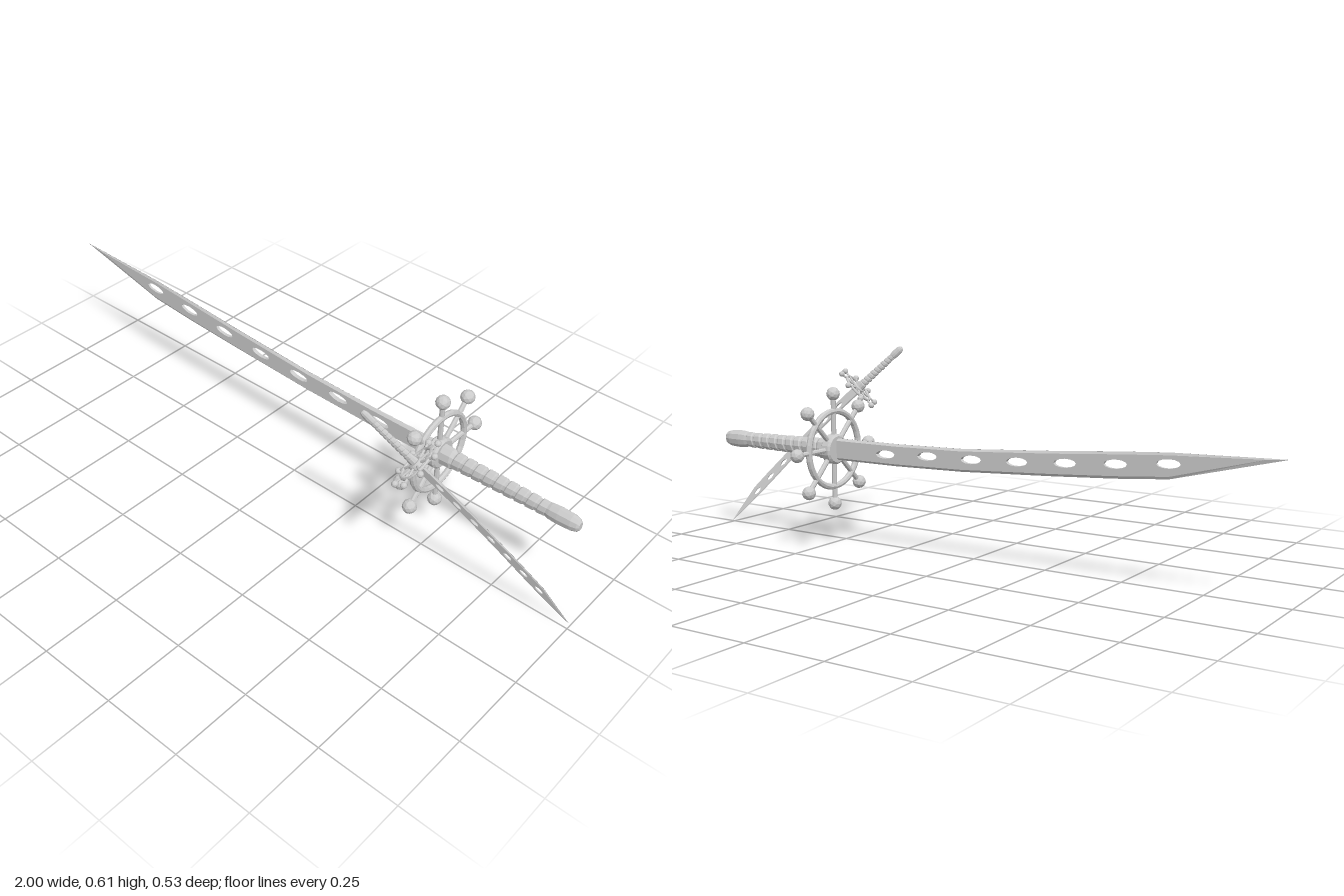
import * as THREE from 'three';

const material = new THREE.MeshStandardMaterial({ color: 0xcccccc, flatShading: true, side: THREE.DoubleSide });

function add(parent, geometry, name) {
  const mesh = new THREE.Mesh(geometry, material);
  mesh.name = name;
  parent.add(mesh);
  return mesh;
}

// Lathe turned so that its axis runs along +x; points are [x, radius]
function latheX(points, sides) {
  return new THREE.LatheGeometry(points.map(([x, r]) => new THREE.Vector2(r, x)), sides).rotateZ(-Math.PI / 2);
}

// Thin the blade towards its tip
function taper(geometry) {
  const p = geometry.attributes.position;
  for (let i = 0; i < p.count; i++) p.setZ(i, p.getZ(i) * (1 + 0.5 * p.getX(i)));
  geometry.computeVertexNormals();
  return geometry;
}

function makeBlade() {
  const blade = new THREE.Group();
  blade.name = 'blade';
  const half = 0.009;
  // Stations: x, upper edge, lower edge
  const stations = [[0, 0.035, -0.034], [-0.25, 0.036, -0.033], [-0.49, 0.042, -0.027],
    [-0.8, 0.063, -0.01], [-1.0, 0.079, 0.003], [-1.16, 0.09, 0.017]];
  const outline = (keep, tipX, tipY) => {
    const at = (y, a, b) => (a + b) / 2 + (y - (a + b) / 2) * keep;
    return [
      ...stations.map(([x, t, b]) => new THREE.Vector2(x, at(t, t, b))),
      new THREE.Vector2(tipX, tipY),
      ...stations.map(([x, t, b]) => new THREE.Vector2(x, at(b, t, b))).reverse(),
    ];
  };
  const outer = outline(1, -1.49, 0.1);
  const inner = outline(0.8, -1.43, 0.095);

  // Flat of the blade, pierced by seven oval holes
  const shape = new THREE.Shape(inner);
  const holeY = [0.001, 0.009, 0.013, 0.021, 0.032, 0.044, 0.059];
  holeY.forEach((y, i) => {
    const hole = new THREE.Path();
    hole.absellipse(-0.21 - i * 0.158, y, 0.036, 0.013, 0, Math.PI * 2, true, -0.06);
    shape.holes.push(hole);
  });
  const flat = new THREE.ExtrudeGeometry(shape, { depth: half * 2, bevelEnabled: false, curveSegments: 6 });
  add(blade, taper(flat.translate(0, 0, -half)), 'bladeFlat');

  // Ground edges running round the flat
  const pos = [];
  for (const s of [1, -1]) {
    for (let i = 0; i < outer.length - 1; i++) {
      const a = [inner[i].x, inner[i].y, s * half], b = [inner[i + 1].x, inner[i + 1].y, s * half];
      const c = [outer[i + 1].x, outer[i + 1].y, s * 0.001], d = [outer[i].x, outer[i].y, s * 0.001];
      // Outline runs anticlockwise, so reverse the winding on the back
      pos.push(...(s > 0 ? [a, d, c, a, c, b] : [a, c, d, a, b, c]).flat());
    }
  }
  const edge = new THREE.BufferGeometry();
  edge.setAttribute('position', new THREE.Float32BufferAttribute(pos, 3));
  add(blade, taper(edge), 'bladeEdge');
  return blade;
}

// Spoked wheel standing in the yz plane
function makeWheelGuard() {
  const wheel = new THREE.Group();
  wheel.name = 'wheelGuard';
  add(wheel, new THREE.TorusGeometry(0.121, 0.01, 8, 32).rotateY(Math.PI / 2), 'rim');
  add(wheel, latheX([[-0.018, 0], [-0.018, 0.042], [-0.012, 0.048], [0.012, 0.048], [0.018, 0.042], [0.018, 0]], 20), 'hub');
  for (let i = 0; i < 8; i++) {
    const spoke = new THREE.Group();
    spoke.name = 'spoke';
    add(spoke, new THREE.CylinderGeometry(0.008, 0.008, 0.14, 8).translate(0, 0.1, 0), 'spokeRod');
    add(spoke, new THREE.IcosahedronGeometry(0.022, 1).translate(0, 0.176, 0), 'spokeKnob');
    spoke.rotation.x = i * Math.PI / 4;
    wheel.add(spoke);
  }
  return wheel;
}

function makeHandle() {
  const handle = new THREE.Group();
  handle.name = 'handle';
  // Collar and core
  add(handle, latheX([[0, 0.036], [0.05, 0.034], [0.06, 0.027], [0.37, 0.022]], 10), 'gripCore');
  // Slanted wrapping bands
  for (let i = 0; i < 9; i++) {
    const r = 0.031 - i * 0.0006, x = 0.055 + i * 0.035;
    const band = latheX([[0, r - 0.006], [0.006, r], [0.026, r - 0.001], [0.033, r - 0.007]], 10);
    const p = band.attributes.position;
    for (let k = 0; k < p.count; k++) p.setX(k, p.getX(k) + x + p.getY(k) * 0.25);
    add(handle, band, 'gripWrap');
  }
  // Pommel
  add(handle, latheX([[0.355, 0.021], [0.375, 0.027], [0.4, 0.029], [0.44, 0.027], [0.458, 0.021], [0.465, 0.013], [0.465, 0]], 10), 'pommel');
  handle.scale.z = 0.75;
  return handle;
}

// Origin at the wheel, blade along -x, handle along +x
function makeSword(name) {
  const sword = new THREE.Group();
  sword.name = name;
  sword.add(makeBlade(), makeWheelGuard(), makeHandle());
  return sword;
}

export function createModel() {
  const model = new THREE.Group();
  model.name = 'swordPair';

  const large = makeSword('largeSword');
  large.position.set(0.49, 0.308, -0.066);
  model.add(large);

  // Smaller sword, crossing in front with its tip on the ground
  const small = makeSword('smallSword');
  const along = new THREE.Vector3(-0.673, 0.673, 0.305).normalize();
  const up = new THREE.Vector3(-1, -1, 0).normalize();
  const across = new THREE.Vector3().crossVectors(along, up);
  small.quaternion.setFromRotationMatrix(new THREE.Matrix4().makeBasis(along, up, across));
  small.scale.setScalar(0.44);
  small.position.set(0.587, 0.474, 0.182);
  model.add(small);
  return model;
}
